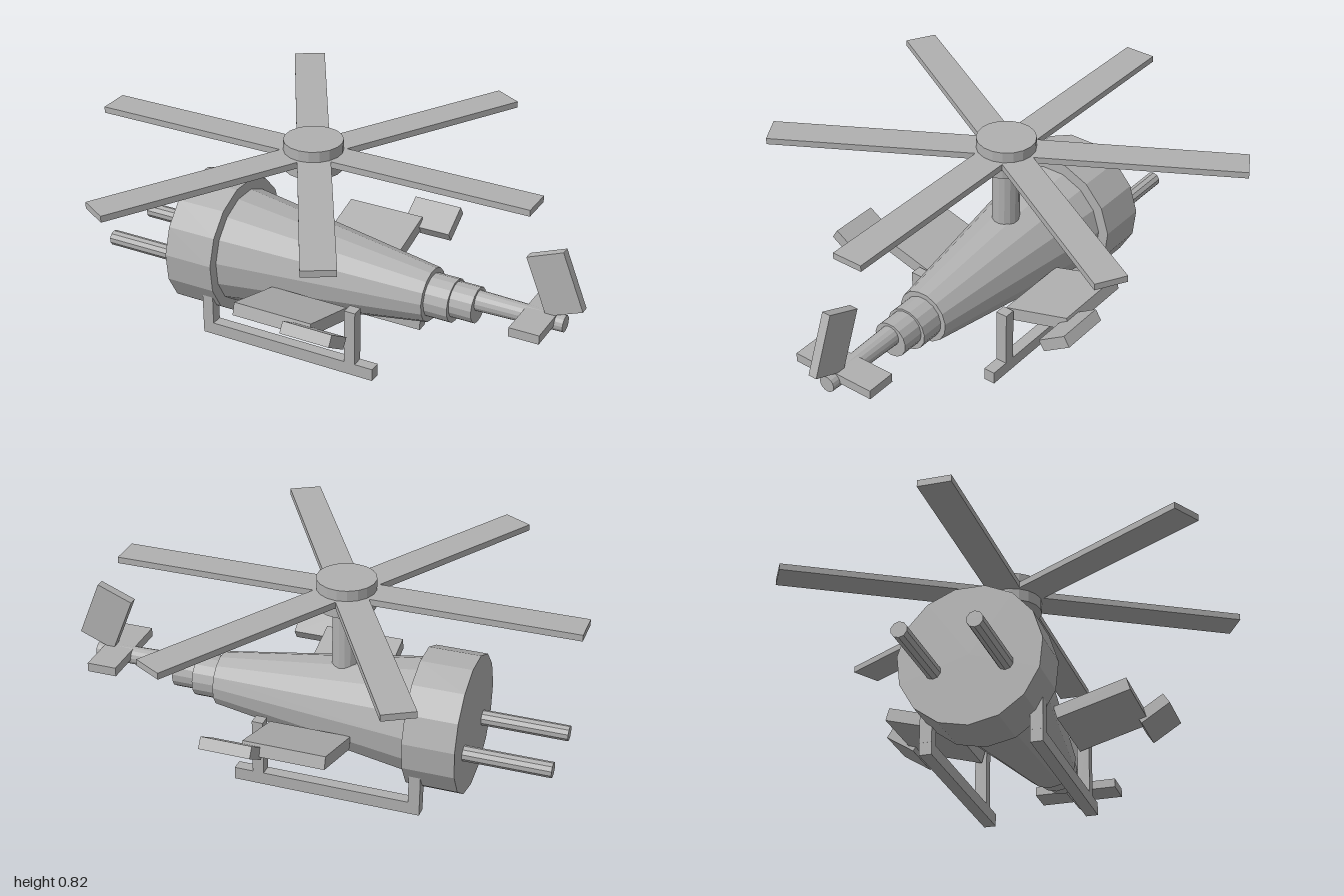
import * as THREE from 'three';

export function createModel() {
  const model = new THREE.Group();
  const grey = new THREE.MeshStandardMaterial({ color: 0xb0b0b0, flatShading: true });
  grey.name = 'plain grey';

  function add(name, geometry, x, y, z) {
    const mesh = new THREE.Mesh(geometry, grey);
    mesh.name = name;
    mesh.position.set(x, y, z);
    model.add(mesh);
    return mesh;
  }
  const box = (name, w, h, d, x, y, z) => add(name, new THREE.BoxGeometry(w, h, d), x, y, z);
  // Round section lying along x, from x0 to x1, with a corner at the bottom
  function barrel(name, x0, x1, r0, r1, y, z = 0, sides = 15) {
    const g = new THREE.CylinderGeometry(r0, r1, x1 - x0, sides, 1, false, -Math.PI / 2);
    g.rotateZ(Math.PI / 2);
    return add(name, g, (x0 + x1) / 2, y, z);
  }

  // Fuselage, nose towards -x
  barrel('nose', -0.61, -0.41, 0.268, 0.268, 0.298);
  barrel('body', -0.41, 0.4, 0.225, 0.106, 0.296);
  barrel('tailCollarLarge', 0.4, 0.495, 0.085, 0.085, 0.297);
  barrel('tailCollarSmall', 0.495, 0.585, 0.07, 0.07, 0.304);
  barrel('tailBoom', 0.58, 0.927, 0.04, 0.032, 0.324);

  // Tail surfaces
  box('tailplane', 0.118, 0.036, 0.34, 0.835, 0.339, 0);
  box('tailFin', 0.149, 0.238, 0.035, 0.882, 0.483, 0).rotation.z = 0.38;

  // Main rotor: three full-length bars make six blades
  const rx = -0.105;
  add('mast', new THREE.CylinderGeometry(0.053, 0.053, 0.33, 15), rx, 0.57, 0);
  add('rotorHub', new THREE.CylinderGeometry(0.113, 0.113, 0.113, 18), rx, 0.767, 0);
  for (let i = 0; i < 3; i++) {
    box('rotorBlades', 1.79, 0.025, 0.124, rx, 0.769, 0).rotation.y = (i * Math.PI) / 3;
  }

  // Mirrored parts
  for (const s of [1, -1]) {
    const side = s > 0 ? 'front' : 'back';
    barrel(side + 'Gun', -0.945, -0.6, 0.03, 0.03, 0.25, s * 0.132, 10);

    // Stub wing and steeper winglet
    box(side + 'Wing', 0.32, 0.05, 0.286, -0.027, 0.275, s * 0.326).rotation.x = -s * 0.279;
    box(side + 'Winglet', 0.199, 0.046, 0.13, 0.163, 0.321, s * 0.494).rotation.x = -s * 0.57;

    // Landing skid
    const z = s * 0.203;
    box(side + 'SkidRail', 0.738, 0.05, 0.046, -0.105, 0.025, z);
    box(side + 'SkidFrontStrut', 0.045, 0.12, 0.046, -0.452, 0.107, z);
    box(side + 'SkidRearStrut', 0.044, 0.225, 0.046, 0.168, 0.16, z);
  }
  return model;
}
